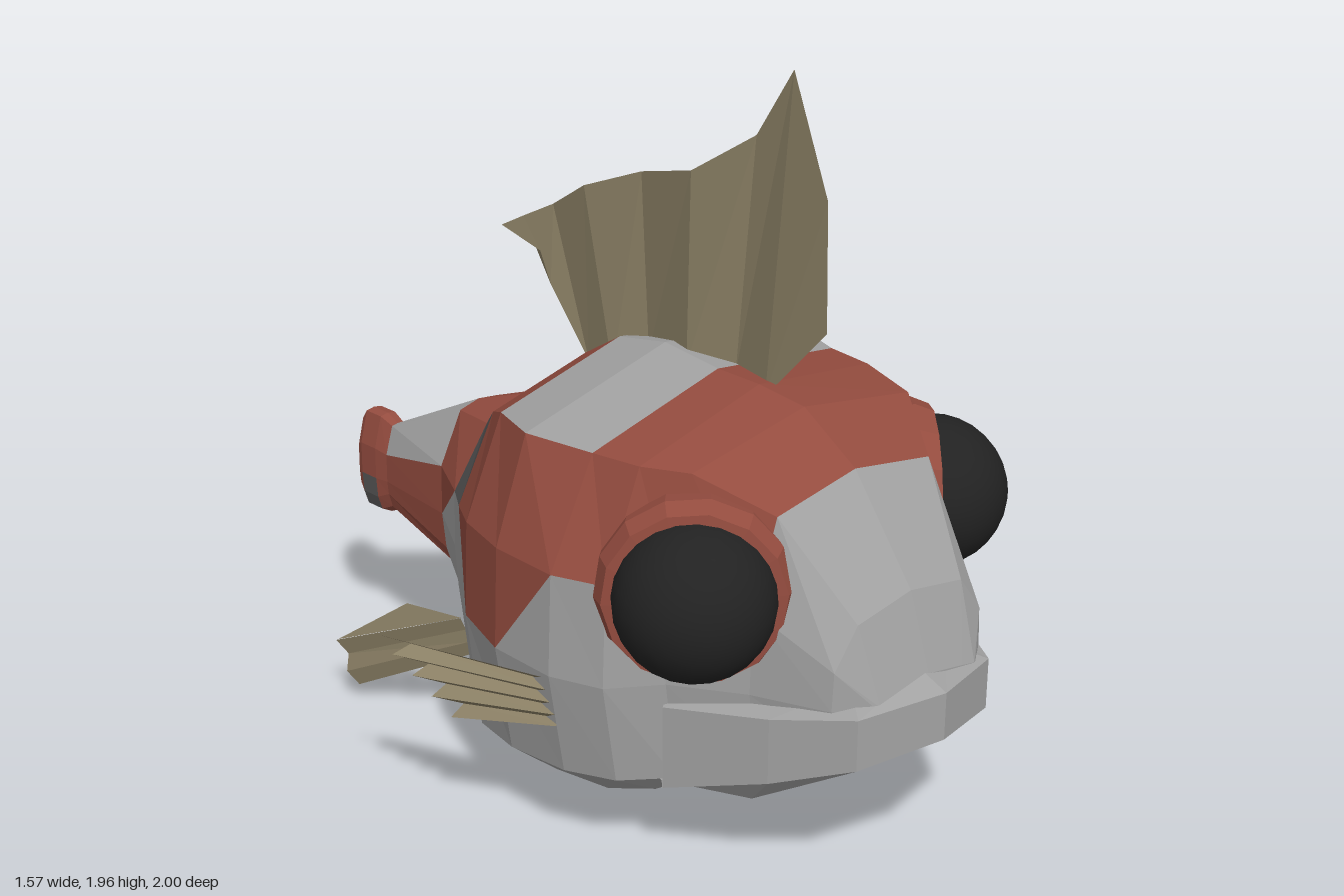
import * as THREE from 'three';

const flat = (name, color, side = THREE.FrontSide) => {
  const material = new THREE.MeshStandardMaterial({ color, side });
  material.name = name;
  return material;
};

// Faceted geometry from a list of corner points, three per triangle
function facets(points) {
  const g = new THREE.BufferGeometry();
  g.setAttribute('position', new THREE.Float32BufferAttribute(points.flat(), 3));
  g.computeVertexNormals();
  return g;
}

// Triangles between neighbouring rows of points
function sheet(rows) {
  const out = [];
  for (let i = 0; i < rows.length - 1; i++) {
    for (let k = 0; k < rows[i].length - 1; k++) {
      const a = rows[i][k], b = rows[i][k + 1], c = rows[i + 1][k], d = rows[i + 1][k + 1];
      out.push(a, b, c, b, d, c);
    }
  }
  return facets(out);
}

// Pleated fin spread between a root edge and a tip edge
function fan(rootA, rootB, tipA, tipB, ribs, pleat, notch) {
  const mix = (p, q, t) => p.map((v, i) => v + (q[i] - v) * t);
  const rows = [];
  for (let i = 0; i <= ribs; i++) {
    const t = i / ribs, s = i % 2 ? 1 : -1;
    const root = mix(rootA, rootB, t);
    const tip = mix(root, mix(tipA, tipB, t), i % 2 ? 1 - notch : 1);
    root[0] += s * pleat * 0.5;
    tip[0] += s * pleat;
    rows.push([root, tip]);
  }
  return sheet(rows);
}

// Body sections: z, centre x, top y, shoulder half width, full half width,
// lower flank y, bottom y
const sections = [
  [0.93, 0.1, 0.6, 0.12, 0.17, 0.46, 0.45],
  [0.86, 0.1, 0.8, 0.18, 0.26, 0.43, 0.41],
  [0.67, 0.09, 1.06, 0.26, 0.34, 0.34, 0.3],
  [0.5, 0.08, 1.17, 0.37, 0.45, 0.28, 0.24],
  [0.36, 0.06, 1.19, 0.43, 0.56, 0.28, 0.15],
  [0.22, 0.05, 1.19, 0.45, 0.61, 0.27, 0.09],
  [0.02, 0.05, 1.2, 0.5, 0.62, 0.25, 0.05],
  [-0.16, 0.05, 1.16, 0.43, 0.57, 0.22, 0.08],
  [-0.3, 0.05, 1.07, 0.34, 0.48, 0.27, 0.13],
  [-0.47, 0.01, 0.91, 0.18, 0.31, 0.4, 0.27],
  [-0.63, -0.06, 0.86, 0.07, 0.15, 0.45, 0.35],
  [-0.88, -0.16, 0.73, 0.02, 0.045, 0.52, 0.46],
  [-0.92, -0.165, 0.75, 0.025, 0.05, 0.5, 0.44],
  [-0.98, -0.17, 0.75, 0.025, 0.05, 0.5, 0.44],
  [-1, -0.175, 0.72, 0.02, 0.04, 0.52, 0.47],
];

// Twelve-sided ring of one section, from the ridge down the left flank and back up;
// the trunk sections are turned slightly
function bodyRing([z, cx, top, shoulder, wide, low, bottom]) {
  const middle = 0.56, shoulderY = top - 0.18 * shoulder;
  const skew = z < 0.4 && z > -0.8 ? 0.1 : 0;
  const side = [
    [shoulder, shoulderY],
    [wide * 0.98, (shoulderY + middle) / 2],
    [wide, middle],
    [wide * 0.92, low],
    [wide * 0.66, bottom + (low - bottom) * 0.3],
  ];
  return [
    [cx, top, z],
    ...side.map(([w, y]) => [cx + w, y, z - skew * w]),
    [cx, bottom, z],
    ...side.reverse().map(([w, y]) => [cx - w, y, z + skew * w]),
  ];
}

// Colour of each panel, one row per strip from back ridge to belly:
// g grey, r red, d dark, h red upper front over grey, v grey lower front under red
const pattern = [
  'ggrrrggrdrgrrr',
  'ggrrrrrrdrgrrr',
  'gggggvrhgvrrrr',
  'ggggggggggrrdr',
  'ggggggggggrrdr',
  'ggggggggggrrdr',
];
const split = { h: ['r', 'g'], v: ['g', 'r'] };

function buildBody(materials) {
  const rings = sections.map(bodyRing);
  const tris = { g: [], r: [], d: [] };
  for (let i = 0; i < rings.length - 1; i++) {
    for (let k = 0; k < 12; k++) {
      const n = (k + 1) % 12, left = k < 6;
      const code = pattern[left ? k : 11 - k][i];
      const [first, second] = split[code] || [code, code];
      const a = rings[i][k], b = rings[i][n], c = rings[i + 1][k], d = rings[i + 1][n];
      const cutBC = left !== (code === 'v');
      tris[first].push(a, b, cutBC ? c : d);
      tris[second].push(...(cutBC ? [b, d, c] : [a, d, c]));
    }
  }
  // Snout and tail caps
  const last = rings[rings.length - 1];
  for (let k = 0; k < 12; k++) {
    const n = (k + 1) % 12;
    tris.g.push([0.1, 0.52, 0.93], rings[0][n], rings[0][k]);
    tris.r.push([-0.175, 0.59, -1], last[k], last[n]);
  }
  const body = new THREE.Group();
  body.name = 'body';
  const names = { g: 'greySkin', r: 'redPatches', d: 'darkStripe' };
  for (const key in tris) {
    const mesh = new THREE.Mesh(facets(tris[key]), materials[key]);
    mesh.name = names[key];
    body.add(mesh);
  }
  return body;
}

export function createModel() {
  const grey = flat('grey skin', 0xa2a2a2, THREE.DoubleSide);
  const red = flat('rust red', 0x944c3f);
  const dark = flat('dark grey', 0x585858);
  const black = flat('eye black', 0x222222);
  const finMat = flat('olive fin', 0x8c8166, THREE.DoubleSide);

  const model = new THREE.Group();
  const add = (name, geometry, material, parent = model) => {
    const mesh = new THREE.Mesh(geometry, material);
    mesh.name = name;
    parent.add(mesh);
    return mesh;
  };
  model.add(buildBody({ g: grey, r: red, d: dark }));

  // Wide lip round the snout with the jaw plate beneath: half width, z, top y, bottom y
  const lip = [[0, 1, 0.58, 0.45], [0.23, 0.93, 0.56, 0.42], [0.35, 0.75, 0.53, 0.35], [0.47, 0.5, 0.5, 0.27]];
  const arc = [...lip.slice(1).reverse().map(([x, ...r]) => [-x, ...r]), ...lip];
  add('lipAndJaw', sheet(arc.map(([x, z, top, low]) => [
    [0.09 + x * 0.72, top + 0.03, z - 0.09],
    [0.09 + x, top, z],
    [0.09 + x, low, z],
    [0.09 + x * 0.93, 0.26, Math.min(z - 0.04, 0.67)],
    [0.09 + x * 0.9, 0.26, 0.4],
  ])), grey);

  // Bulging eyes in faceted sockets
  const socket = [[0.17, -0.15], [0.235, -0.12], [0.245, -0.02], [0.225, 0.03], [0.18, 0.035]]
    .map(([r, y]) => new THREE.Vector2(r, y));
  const eyes = [
    ['leftEye', [0.53, 0.81, 0.52], [0.78, 0, 0.63]],
    ['rightEye', [-0.36, 0.825, 0.59], [-0.68, 0.03, 0.73]],
  ];
  for (const [name, pos, dir] of eyes) {
    const eye = new THREE.Group();
    eye.name = name;
    eye.position.set(...pos);
    eye.quaternion.setFromUnitVectors(new THREE.Vector3(0, 1, 0), new THREE.Vector3(...dir).normalize());
    add('eyeball', new THREE.SphereGeometry(0.2, 24, 16), black, eye);
    const ring = new THREE.LatheGeometry(socket, 14).toNonIndexed();
    ring.computeVertexNormals();
    add('eyeSocket', ring, red, eye).position.y = -0.03;
    model.add(eye);
  }

  // Tall back fin: root z, y, x and tip z, y, x of each ray
  const rays = [
    [0.53, 1.36, 0.12, 0.51, 1.69, 0.13],
    [0.34, 1.14, 0.1, 0.37, 1.98, 0.145],
    [0.2, 1.15, 0.13, 0.25, 1.79, 0.14],
    [0.08, 1.15, 0.07, 0.08, 1.67, 0.08],
    [-0.1, 1.12, 0.1, -0.13, 1.61, 0.1],
    [-0.2, 1.05, 0.06, -0.3, 1.54, 0.05],
    [-0.31, 1.04, 0.07, -0.44, 1.45, 0.06],
    [-0.43, 1.23, 0.04, -0.53, 1.4, 0.03],
    [-0.46, 1.32, 0.03, -0.6, 1.36, 0.01],
  ];
  add('backFin', sheet(rays.map(([z, y, x, z2, y2, x2]) => [[x, y, z], [x2, y2, z2]])), finMat);

  // Pleated side fins
  add('leftSideFin', fan([0.65, 0.46, 0.16], [0.63, 0.29, 0.15], [0.78, 0.5, -0.3], [0.7, 0.29, -0.2], 8, 0.018, 0.1), finMat);
  add('rightSideFin', fan([-0.53, 0.54, 0.28], [-0.53, 0.41, 0.28], [-0.78, 0.6, -0.12], [-0.65, 0.37, 0.02], 8, 0.018, 0.1), finMat);

  // Trailing belly fins: front root, lower root, trailing root, upper tip, lower tip
  const bellyFins = {
    left: [[0.25, 0.36, -0.46], [0.22, 0.24, -0.4], [0.28, 0.35, -0.63], [0.23, 0.18, -0.86], [0.2, 0.01, -0.88]],
    right: [[-0.33, 0.37, -0.38], [-0.31, 0.26, -0.36], [-0.38, 0.36, -0.56], [-0.48, 0.2, -0.76], [-0.46, 0.06, -0.72]],
  };
  for (const [side, [root, lower, trailing, tip, lowTip]] of Object.entries(bellyFins)) {
    add(side + 'BellyFin', fan(root, lower, tip, lowTip, 3, 0.006, 0.03), finMat);
    add(side + 'BellyFinWeb', facets([root, trailing, tip]), finMat);
  }

  return model;
}
